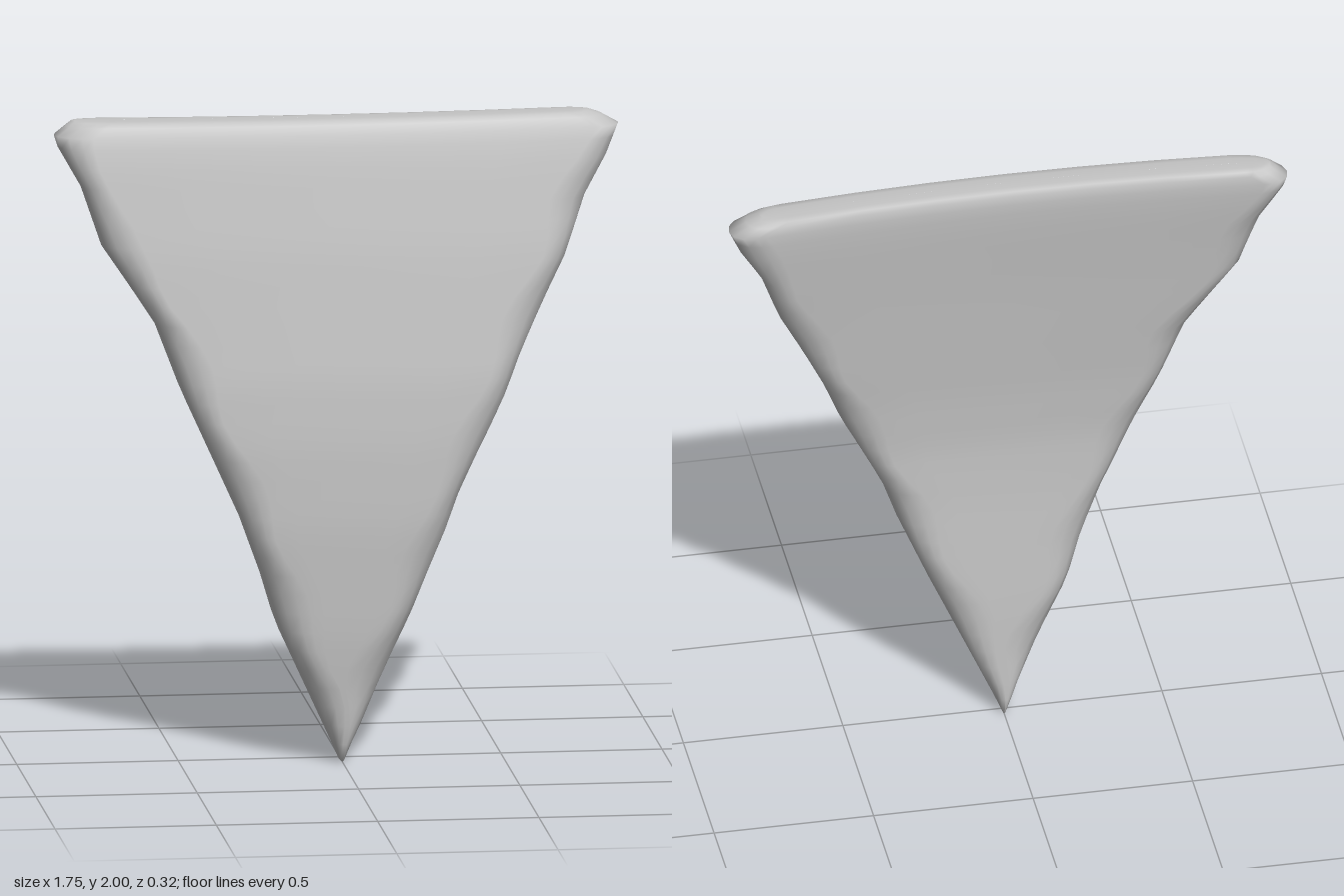
import * as THREE from 'three';

// Piecewise-linear lookup in a list of [y, value] pairs
function lookup(pairs, y) {
  for (let i = 1; i < pairs.length; i++) {
    const [y0, v0] = pairs[i - 1], [y1, v1] = pairs[i];
    if (y <= y1) return v0 + (v1 - v0) * (y - y0) / (y1 - y0);
  }
  return pairs[pairs.length - 1][1];
}

// Uneven left and right edges of the wedge
const rightEdge = [[0, -0.005], [0.05, -0.027], [0.45, -0.21], [0.6, -0.255], [0.78, -0.32], [1.18, -0.5],
  [1.38, -0.575], [1.48, -0.64], [1.62, -0.735], [1.8, -0.795], [1.95, -0.88], [2, -0.82]];
const leftEdge = [[0, 0.005], [0.05, 0.027], [0.12, 0.06], [0.48, 0.22], [0.72, 0.32], [0.85, 0.365], [1.12, 0.5],
  [1.25, 0.55], [1.4, 0.62], [1.57, 0.705], [1.74, 0.765], [1.86, 0.835], [1.965, 0.88], [2, 0.78]];

// Front and back of the bent slab along its centre line
const frontZ = [[0, 0.1], [0.1, 0.12], [0.4, 0.15], [0.75, 0.165], [1, 0.16], [1.2, 0.145], [1.6, 0.09], [1.9, 0.035], [2, 0.005]];
const backZ = [[0, -0.045], [0.4, -0.035], [0.8, -0.015], [1, -0.012], [1.2, -0.028], [1.6, -0.075], [1.9, -0.115], [2, -0.12]];

// Rounded rim: [share of bevel width inset, share of half thickness]
const rim = [[1, 1], [0.7, 0.96], [0.35, 0.8], [0.08, 0.45], [0, 0]];

function slabGeometry() {
  // Rows [y, thickness share]; the first and last close the ends
  const rows = [[0, 0], [0.004, 0.85]];
  for (let i = 1; i <= 32; i++) rows.push([i * 0.06, 1]);
  rows.push([1.955, 1], [1.985, 0.95], [1.997, 0.8], [2, 0.45], [2, 0]);

  const positions = [], index = [];
  let n = 0;
  rows.forEach(([y, share]) => {
    const xr = lookup(rightEdge, y), xl = lookup(leftEdge, y);
    const front = lookup(frontZ, y), back = lookup(backZ, y);
    const mid = (front + back) / 2, half = (front - back) / 2 * share;
    const bevel = Math.min(0.1, (xl - xr) * 0.42);
    const loop = [];
    for (const side of [1, -1]) {
      // Small dents along the worn edges
      const dent = (s) => bevel * (1 + 0.2 * Math.sin(y * 17 + s * 2 + side));
      const half1 = [];
      rim.slice().reverse().forEach(([b, v]) => half1.push([xr + dent(-1) * b, v * side]));
      const a = xr + dent(-1), c = xl - dent(1);
      for (let k = 1; k < 6; k++) half1.push([a + (c - a) * k / 6, side]);
      rim.forEach(([b, v]) => half1.push([xl - dent(1) * b, v * side]));
      if (side < 0) half1.reverse();
      loop.push(...half1.slice(0, -1));
    }
    n = loop.length;
    // Bend across the width
    loop.forEach(([x, v]) => positions.push(x, y, mid + v * half - 0.06 * x * x));
  });
  for (let i = 0; i < rows.length - 1; i++) {
    for (let j = 0; j < n; j++) {
      const a = i * n + j, b = i * n + (j + 1) % n;
      index.push(a, b, b + n, a, b + n, a + n);
    }
  }
  const geometry = new THREE.BufferGeometry();
  geometry.setAttribute('position', new THREE.Float32BufferAttribute(positions, 3));
  geometry.setIndex(index);
  geometry.computeVertexNormals();
  return geometry;
}

export function createModel() {
  const group = new THREE.Group();
  group.name = 'curvedWedge';
  const grey = new THREE.MeshStandardMaterial({ color: 0xc4c4c4 });
  grey.name = 'plain grey';
  const slab = new THREE.Mesh(slabGeometry(), grey);
  slab.name = 'wedgeSlab';
  group.add(slab);
  return group;
}
